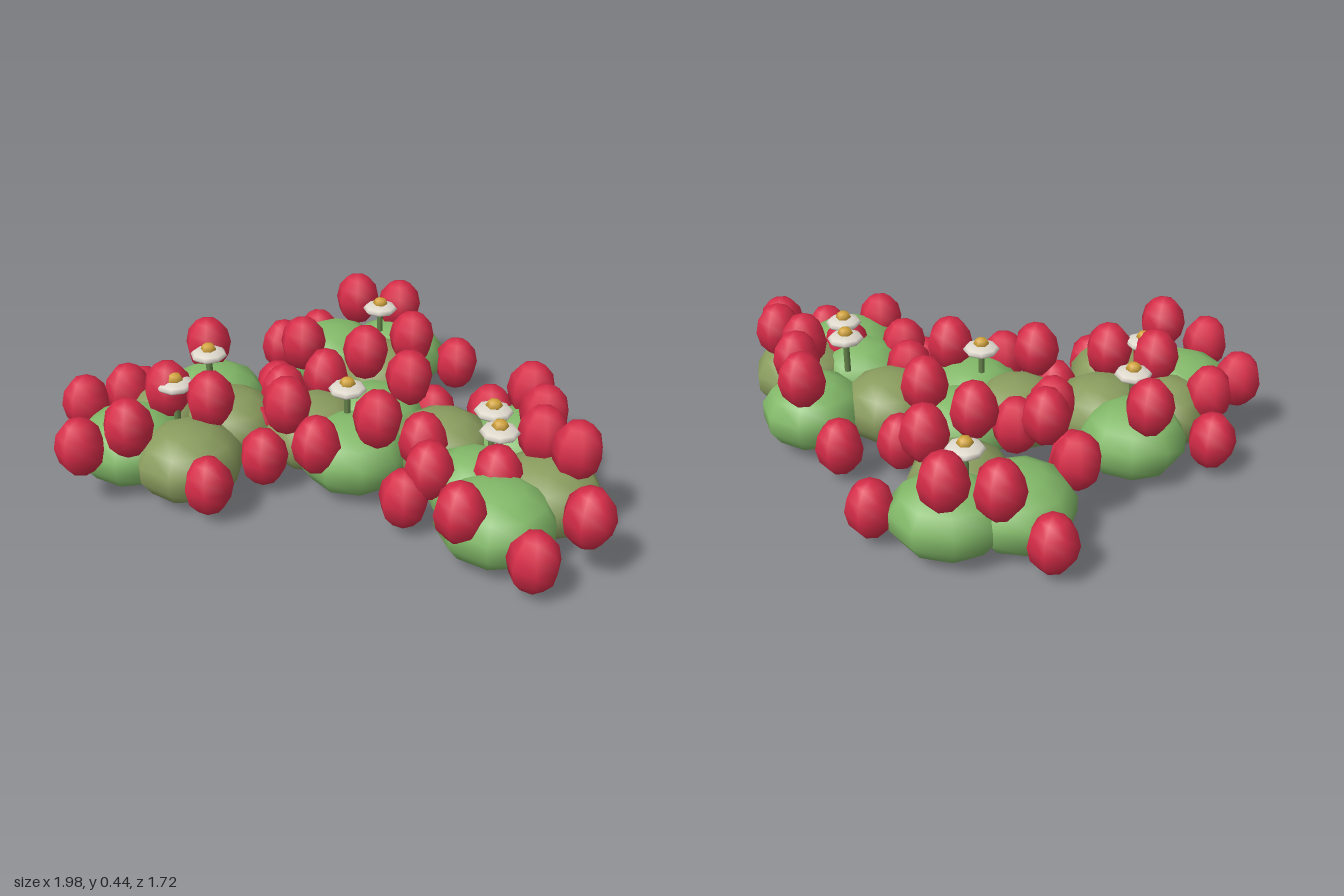
import * as THREE from 'three';

const mat = (name, color) => {
  const m = new THREE.MeshStandardMaterial({ color });
  m.name = name;
  return m;
};

export function createModel() {
  const group = new THREE.Group();
  group.name = 'berryPatch';
  const green = mat('leafGreen', 0x82b868);
  const olive = mat('leafOlive', 0x8a9c5e);
  const red = mat('berryRed', 0xd62c48);
  const white = mat('petalWhite', 0xded8cc);
  const gold = mat('flowerGold', 0xd2a43c);
  const stemGreen = mat('stemGreen', 0x64824a);

  const add = (parent, name, geo, material, pos, scale = [1, 1, 1], turn = 0) => {
    const m = new THREE.Mesh(geo, material);
    m.name = name;
    m.position.set(...pos);
    m.scale.set(...scale);
    m.rotation.y = turn;
    parent.add(m);
    return m;
  };

  // Leafy mounds: x, z, radius x, radius z, material
  const moundGeo = new THREE.SphereGeometry(1, 9, 7);
  const mounds = [
    [-0.05, -0.57, 0.2, 0.22, green], [0.19, -0.62, 0.19, 0.21, green], [0.15, -0.42, 0.19, 0.19, olive],
    [-0.48, -0.15, 0.2, 0.2, green], [-0.38, 0.04, 0.19, 0.19, olive], [-0.63, 0.03, 0.16, 0.16, olive],
    [-0.71, 0.22, 0.21, 0.21, green], [-0.48, 0.31, 0.2, 0.2, olive],
    [0.15, -0.05, 0.2, 0.2, green], [-0.06, 0.05, 0.19, 0.2, olive], [0.1, 0.19, 0.2, 0.2, green],
    [0.71, 0.08, 0.2, 0.2, green], [0.42, 0.11, 0.19, 0.19, olive], [0.78, 0.38, 0.2, 0.2, olive],
    [0.61, 0.56, 0.21, 0.21, green], [0.54, 0.37, 0.18, 0.18, green],
  ];
  const bushes = new THREE.Group();
  bushes.name = 'bushes';
  mounds.forEach(([x, z, rx, rz, m], i) =>
    add(bushes, 'leafMound', moundGeo, m, [x, 0.145, z], [rx, 0.14, rz], i * 1.3));
  group.add(bushes);

  // Berries: x, z, grouped by the height at which they hang
  const berryGeo = new THREE.SphereGeometry(1, 7, 6);
  const tiers = [
    [0.14, [[-0.15, -0.78], [0.45, -0.57], [-0.25, -0.28], [0.37, -0.15], [0.59, -0.18], [0.73, 0.77],
      [0.3, 0.46], [0.33, 0.14], [-0.22, 0.25], [-0.77, -0.17], [-0.38, 0.46], [-0.28, 0.06]]],
    [0.24, [[-0.25, -0.45], [-0.05, -0.21], [0.9, 0.65], [0.49, 0.67], [0.61, 0.43], [0.38, 0.43],
      [0.35, 0.24], [-0.02, 0.31], [-0.19, -0.06], [-0.78, 0], [-0.91, 0.11], [-0.84, 0.42]]],
    [0.33, [[0.02, -0.75], [0.2, -0.7], [0.27, -0.4], [-0.15, -0.3], [0.1, -0.25], [0.28, -0.06],
      [0.73, -0.02], [0.77, 0.15], [0.76, 0.3], [0.87, 0.39], [0.19, 0.26], [-0.14, 0.2],
      [-0.52, -0.25], [-0.59, 0.13], [-0.42, 0.19], [-0.66, 0.42]]],
  ];
  const berries = new THREE.Group();
  berries.name = 'berries';
  tiers.forEach(([y, spots]) => spots.forEach(([x, z], i) =>
    add(berries, 'berry', berryGeo, red, [x, y, z], [0.09, 0.11, 0.09], i * 0.9 + y * 5)));
  group.add(berries);

  // Flowers: thin stem, round petal disc and a golden heart
  const stemGeo = new THREE.CylinderGeometry(0.013, 0.013, 0.13, 6);
  const petalGeo = new THREE.SphereGeometry(1, 8, 6);
  const heartGeo = new THREE.SphereGeometry(1, 6, 4);
  [[0.13, -0.57], [-0.48, -0.08], [-0.55, 0.17], [0.07, 0.13], [0.59, 0.23], [0.61, 0.37]].forEach(([x, z]) => {
    const flower = new THREE.Group();
    flower.name = 'flower';
    flower.position.set(x, 0, z);
    add(flower, 'stem', stemGeo, stemGreen, [0, 0.295, 0]);
    add(flower, 'petals', petalGeo, white, [0, 0.37, 0], [0.07, 0.022, 0.07]);
    add(flower, 'flowerHeart', heartGeo, gold, [0, 0.395, 0], [0.03, 0.023, 0.03]);
    group.add(flower);
  });
  return group;
}
